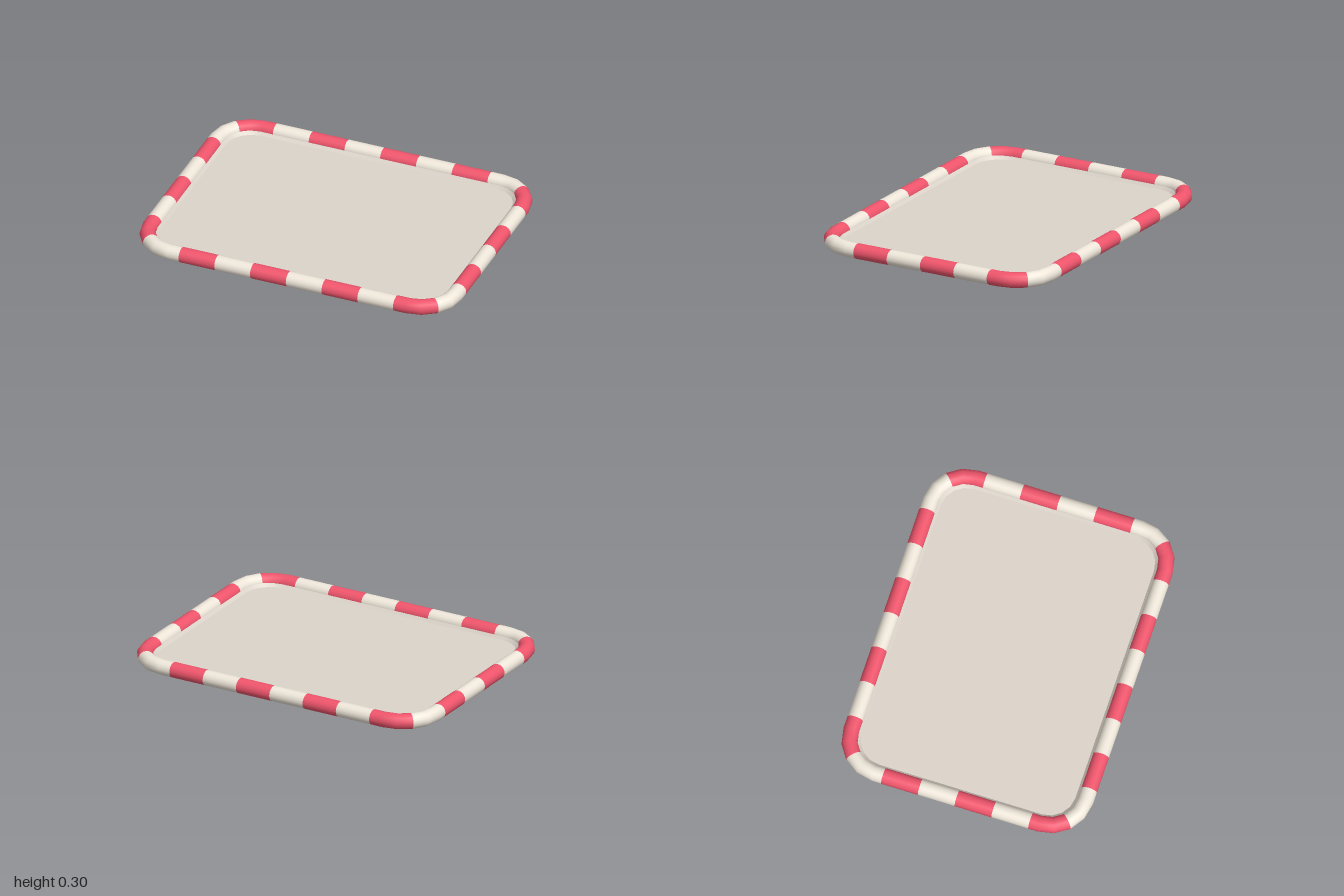
import * as THREE from 'three';
import { toCreasedNormals } from 'three/addons/utils/BufferGeometryUtils.js';

const mat = (color) => new THREE.MeshStandardMaterial({ color });

// Rounded rectangle in the xz plane, seg steps per corner
function roundedLoop(hx, hz, r, seg) {
  const pts = [];
  for (let q = 0; q < 4; q++) {
    const sx = q === 0 || q === 3 ? 1 : -1, sz = q < 2 ? 1 : -1;
    for (let i = 0; i <= seg; i++) {
      const a = (q + i / seg) * Math.PI / 2;
      pts.push([sx * (hx - r) + r * Math.cos(a), sz * (hz - r) + r * Math.sin(a)]);
    }
  }
  return pts;
}

// Skin a stack of rounded rectangles given as [halfX, halfZ, y, cornerRadius]
function loft(rings, seg, crease) {
  const pos = [], idx = [], n = 4 * (seg + 1);
  for (const [hx, hz, y, r] of rings)
    for (const [x, z] of roundedLoop(hx, hz, r, seg)) pos.push(x, y, z);
  for (let i = 0; i < rings.length - 1; i++)
    for (let j = 0; j < n; j++) {
      const k = (j + 1) % n, a = i * n + j, b = i * n + k;
      idx.push(a, b, a + n, b, b + n, a + n);
    }
  const g = new THREE.BufferGeometry();
  g.setAttribute('position', new THREE.Float32BufferAttribute(pos, 3));
  g.setIndex(idx);
  return toCreasedNormals(g, crease);
}

// Rim centre line split into stripes: the back and right sides, then turned half way round
function rimStripes() {
  const hx = 0.9525, hz = 0.71, r = 0.21, path = [];
  const arc = (sx, sz, from, steps) => {
    for (let i = 0; i <= steps; i++) {
      const a = THREE.MathUtils.degToRad(from + i * 22.5), c = Math.cos(a), s = Math.sin(a);
      path.push({ x: sx * (hx - r) + r * c, z: sz * (hz - r) + r * s, nx: c, nz: s,
        cut: (from + i * 22.5) % 90 === 45 });
    }
  };
  arc(-1, -1, 225, 2);
  for (let i = -3; i <= 3; i++) path.push({ x: i * 0.2235, z: -hz, nx: 0, nz: -1, cut: true });
  arc(1, -1, 270, 4);
  for (let i = -2; i <= 2; i++) path.push({ x: hx, z: i * 0.2235, nx: 1, nz: 0, cut: true });
  arc(1, 1, 0, 2);

  const stripes = [];
  let run = [path[0]];
  for (const p of path.slice(1)) {
    run.push(p);
    if (p.cut) { stripes.push(run); run = [p]; }
  }
  const turned = stripes.map((s) => s.map((p) => ({ x: -p.x, z: -p.z, nx: -p.nx, nz: -p.nz })));
  return stripes.concat(turned);
}

// Round tube along one stripe
function stripeGeometry(run) {
  const sides = 16, pos = [], nor = [], idx = [];
  run.forEach((p, i) => {
    for (let j = 0; j <= sides; j++) {
      const a = j / sides * Math.PI * 2, c = Math.cos(a), s = Math.sin(a);
      pos.push(p.x + p.nx * c * 0.0475, 0.25 + s * 0.0455, p.z + p.nz * c * 0.0475);
      nor.push(p.nx * c, s, p.nz * c);
      if (i < run.length - 1 && j < sides) {
        const k = i * (sides + 1) + j, m = k + sides + 1;
        idx.push(k, k + 1, m, k + 1, m + 1, m);
      }
    }
  });
  const g = new THREE.BufferGeometry();
  g.setAttribute('position', new THREE.Float32BufferAttribute(pos, 3));
  g.setAttribute('normal', new THREE.Float32BufferAttribute(nor, 3));
  g.setIndex(idx);
  return g;
}

export function createModel() {
  const model = new THREE.Group();
  model.name = 'tray';
  const add = (name, geometry, material, parent = model) => {
    const mesh = new THREE.Mesh(geometry, material);
    mesh.name = name;
    parent.add(mesh);
  };

  // Striped rim
  const rim = new THREE.Group();
  rim.name = 'rim';
  model.add(rim);
  const red = mat(0xf0556c), cream = mat(0xefe7da);
  rimStripes().forEach((run, i) =>
    add(i % 2 ? 'creamStripe' : 'redStripe', stripeGeometry(run), i % 2 ? cream : red, rim));

  // Flat floor with a sloping edge
  add('floor', loft([
    [0, 0, 0.238, 0], [0.89, 0.648, 0.238, 0.155], [0.912, 0.67, 0.262, 0.17],
  ], 4, 0.4), mat(0xdcd4ca));

  // Shallow curved underside
  add('underside', loft([
    [0.95, 0.71, 0.23, 0.21], [0.93, 0.695, 0.205, 0.2], [0.85, 0.63, 0.17, 0.18],
    [0.67, 0.49, 0.133, 0.14], [0.33, 0.25, 0.1, 0.07], [0.11, 0.08, 0.065, 0.02],
    [0, 0, 0.06, 0],
  ], 4, 1.0), mat(0x7a4a1c));

  // Small faceted foot
  add('foot', loft([
    [0.115, 0.085, 0.075, 0.02], [0.11, 0.08, 0.06, 0.02], [0.095, 0.07, 0.02, 0.018],
    [0.045, 0.036, 0, 0.01], [0, 0, 0, 0],
  ], 1, 0.2), mat(0xc87a32));

  return model;
}
